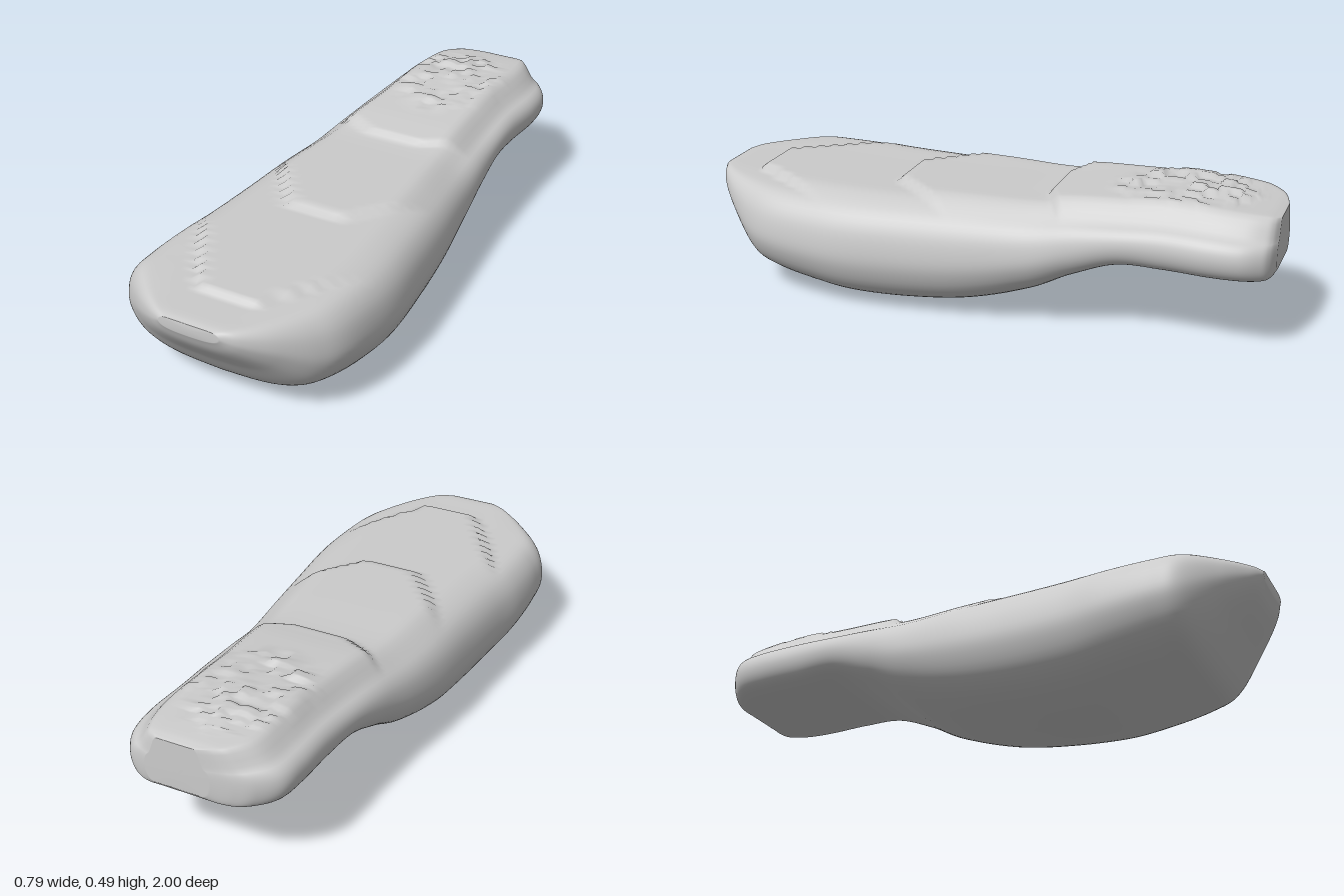
import * as THREE from 'three';

// stations front to back: z, min x, max x, bottom y, shoulder-level top y
const STATIONS = [
  [1.0, -0.11, 0.1, 0.335, 0.375], [0.97, -0.17, 0.16, 0.28, 0.38],
  [0.9, -0.27, 0.24, 0.195, 0.38], [0.8, -0.375, 0.32, 0.075, 0.38],
  [0.7, -0.393, 0.365, 0.045, 0.38], [0.55, -0.39, 0.387, 0.02, 0.38],
  [0.4, -0.372, 0.392, 0.005, 0.38], [0.2, -0.355, 0.375, 0.009, 0.38],
  [0.0, -0.34, 0.355, 0.035, 0.38], [-0.2, -0.312, 0.33, 0.1, 0.38],
  [-0.35, -0.285, 0.318, 0.19, 0.395], [-0.5, -0.262, 0.31, 0.26, 0.405],
  [-0.65, -0.247, 0.308, 0.266, 0.415], [-0.8, -0.24, 0.318, 0.266, 0.415],
  [-0.9, -0.222, 0.31, 0.266, 0.41], [-0.96, -0.16, 0.28, 0.266, 0.405],
  [-0.985, -0.1, 0.25, 0.272, 0.4], [-1.0, -0.02, 0.2, 0.29, 0.395],
];
const PER = 12, HALF = 40;

const spline = pts => new THREE.SplineCurve(pts.map(p => new THREE.Vector2(...p)));
// half outlines, bottom centre to top centre, as fractions of half width and height
const deepHalf = spline([[0, 0], [0.42, 0.025], [0.7, 0.1], [0.88, 0.23], [0.98, 0.42], [1, 0.6],
  [0.95, 0.82], [0.82, 0.97], [0.6, 1], [0.3, 1], [0, 1]]);
const slimHalf = spline([[0, 0], [0.45, 0], [0.72, 0], [0.88, 0.08], [0.97, 0.28], [1, 0.55],
  [0.96, 0.8], [0.84, 0.96], [0.6, 1], [0.3, 1], [0, 1]]);

const { smoothstep, lerp } = THREE.MathUtils;

function hash(a, b) {
  const s = Math.sin(a * 127.1 + b * 311.7) * 43758.5453;
  return s - Math.floor(s);
}

// raised terraces on the top, each with a bowed front edge
function terraceHeight(x, z, across) {
  const inside = 1 - smoothstep(across, 0.58, 0.86);
  let h = 0;
  for (const [edge, bow] of [[0.85, 1.6], [0.32, 1.3], [-0.22, 0.5]]) {
    const line = edge - bow * Math.max(0, Math.abs(x - 0.02) - 0.1);
    h += 0.02 * smoothstep(line - z, 0, 0.025);
  }
  return h * inside;
}

// uneven patch near the back of the top
function roughness(x, z) {
  const d = Math.hypot((x - 0.03) / 0.22, (z + 0.67) / 0.28);
  const mask = 1 - smoothstep(d, 0.55, 1);
  return mask * (hash(Math.round(x * 32), Math.round(z * 24)) - 0.3) * 0.022;
}

function bodyGeometry() {
  const curve = cols => new THREE.CatmullRomCurve3(
    STATIONS.map(s => new THREE.Vector3(...cols.map(c => s[c]))), false, 'catmullrom', 0.5);
  const sides = curve([1, 2, 0]), heights = curve([3, 4, 0]);
  const rings = (STATIONS.length - 1) * PER, n = HALF * 2;
  const pos = [], index = [];

  for (let i = 0; i <= rings; i++) {
    const t = i / rings, s = sides.getPoint(t), h = heights.getPoint(t);
    const z = THREE.MathUtils.clamp(s.z, -1, 1);
    const cx = (s.x + s.y) / 2, w = (s.y - s.x) / 2;
    const slim = smoothstep(-z, 0.15, 0.55);
    for (let j = 0; j < n; j++) {
      const left = j > HALF, u = (left ? n - j : j) / HALF;
      const a = deepHalf.getPoint(u), b = slimHalf.getPoint(u);
      const across = lerp(a.x, b.x, slim), up = lerp(a.y, b.y, slim);
      const x = cx + (left ? -1 : 1) * across * w;
      let y = Math.max(0, lerp(h.x, h.y, up));
      if (up > 0.5) y += terraceHeight(x, z, across) * smoothstep(up, 0.5, 1);
      if (u > 0.75) y += roughness(x, z);
      pos.push(x, y, z);
    }
  }

  // skin between neighbouring rings
  for (let i = 0; i < rings; i++) {
    for (let j = 0; j < n; j++) {
      const k = (j + 1) % n;
      const a = i * n + j, b = i * n + k, c = a + n, d = b + n;
      index.push(a, c, b, b, c, d);
    }
  }

  // end caps
  for (const [ring, front] of [[0, true], [rings, false]]) {
    const s = STATIONS[front ? 0 : STATIONS.length - 1];
    const centre = pos.length / 3, o = ring * n;
    pos.push((s[1] + s[2]) / 2, (s[3] + s[4]) / 2, s[0]);
    for (let j = 0; j < n; j++) {
      const k = (j + 1) % n;
      if (front) index.push(centre, o + j, o + k);
      else index.push(centre, o + k, o + j);
    }
  }

  const g = new THREE.BufferGeometry();
  g.setAttribute('position', new THREE.Float32BufferAttribute(pos, 3));
  g.setIndex(index);
  g.computeVertexNormals();
  return g;
}

export function createModel() {
  const group = new THREE.Group();
  group.name = 'terracedPaddle';
  const body = new THREE.Mesh(bodyGeometry(), new THREE.MeshStandardMaterial({ color: 0xcccccc }));
  body.name = 'body';
  group.add(body);
  return group;
}
